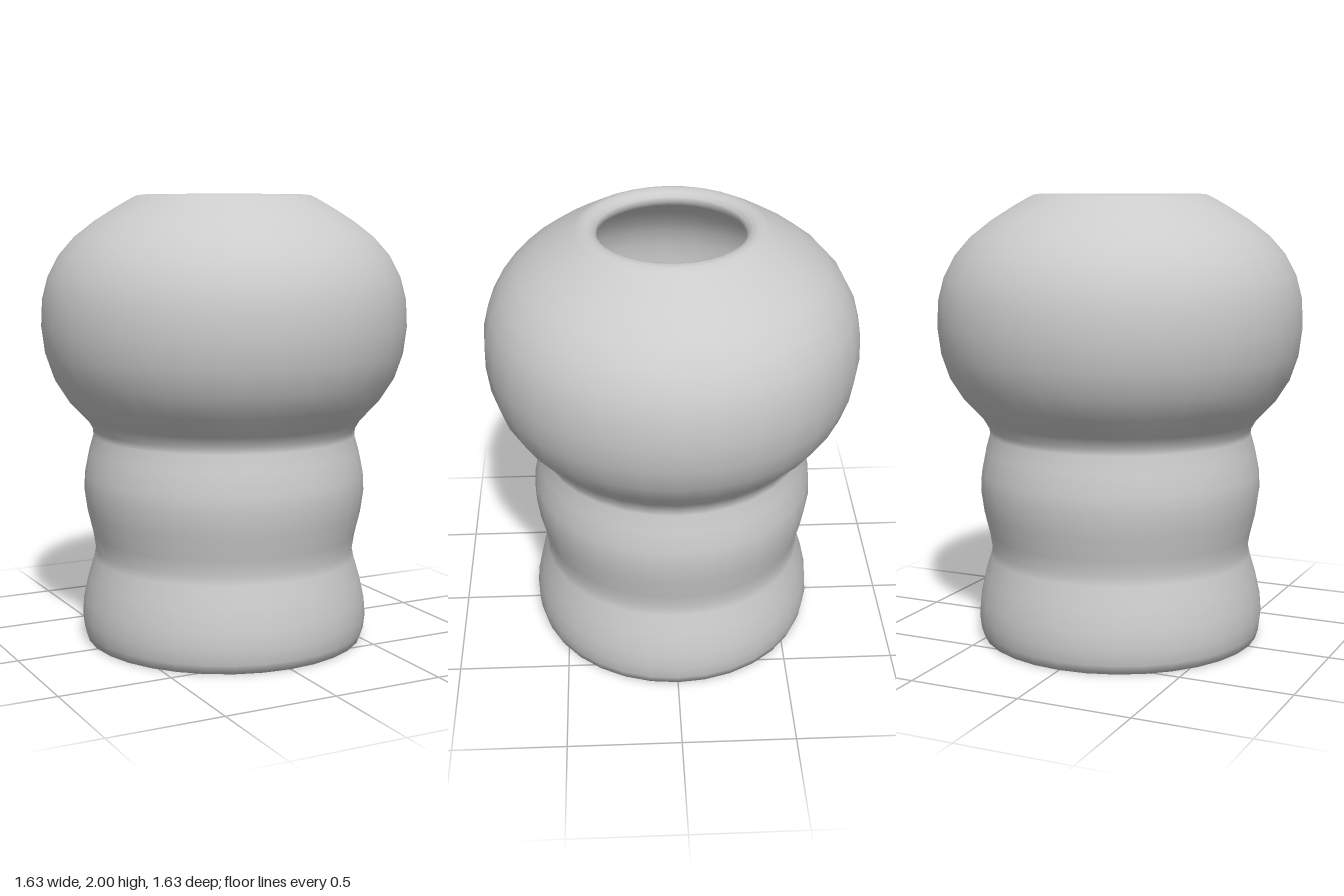
import * as THREE from 'three';

const SEGMENTS = 32;
const WALL = 0.07;

// Outer silhouette from foot to rim, as [radius, height]
const outer = [
  [0.63, 0], [0.643, 0.04], [0.65, 0.1], [0.644, 0.18], [0.622, 0.28], [0.595, 0.37],
  [0.587, 0.41], [0.598, 0.48], [0.622, 0.58], [0.636, 0.68], [0.632, 0.76], [0.612, 0.86],
  [0.592, 0.93], [0.594, 0.96], [0.62, 1.005], [0.705, 1.095], [0.765, 1.19], [0.802, 1.3],
  [0.817, 1.42], [0.811, 1.54], [0.785, 1.64], [0.735, 1.735], [0.665, 1.815], [0.575, 1.885],
  [0.48, 1.945], [0.41, 1.985], [0.385, 1.997],
].map(([r, y]) => new THREE.Vector2(r, y));

// Rolled lip around the mouth
const lip = [[0.36, 2], [0.335, 1.992], [0.318, 1.975], [0.312, 1.955], [0.33, 1.93]]
  .map(([r, y]) => new THREE.Vector2(r, y));

// Inner wall: the silhouette pushed inwards by the wall thickness
function offsetInward(points) {
  return points.slice(1, -1).map((p, i) => {
    const t = points[i + 2].clone().sub(points[i]).normalize();
    return new THREE.Vector2(p.x - t.y * WALL, p.y + t.x * WALL);
  });
}

export function createModel() {
  const group = new THREE.Group();
  group.name = 'vase';

  const inner = offsetInward(outer)
    .filter((p) => p.y > WALL + 0.02 && p.y < 1.9 && p.x > 0.34)
    .reverse();
  const floor = [new THREE.Vector2(inner[inner.length - 1].x - 0.01, WALL), new THREE.Vector2(0, WALL)];
  const profile = [new THREE.Vector2(0, 0), ...outer, ...lip, ...inner, ...floor];

  // Hollow body turned in one piece, base and inside floor included
  const body = new THREE.Mesh(
    new THREE.LatheGeometry(profile, SEGMENTS),
    new THREE.MeshStandardMaterial({ color: 0xcccccc }),
  );
  body.name = 'body';
  group.add(body);
  return group;
}
